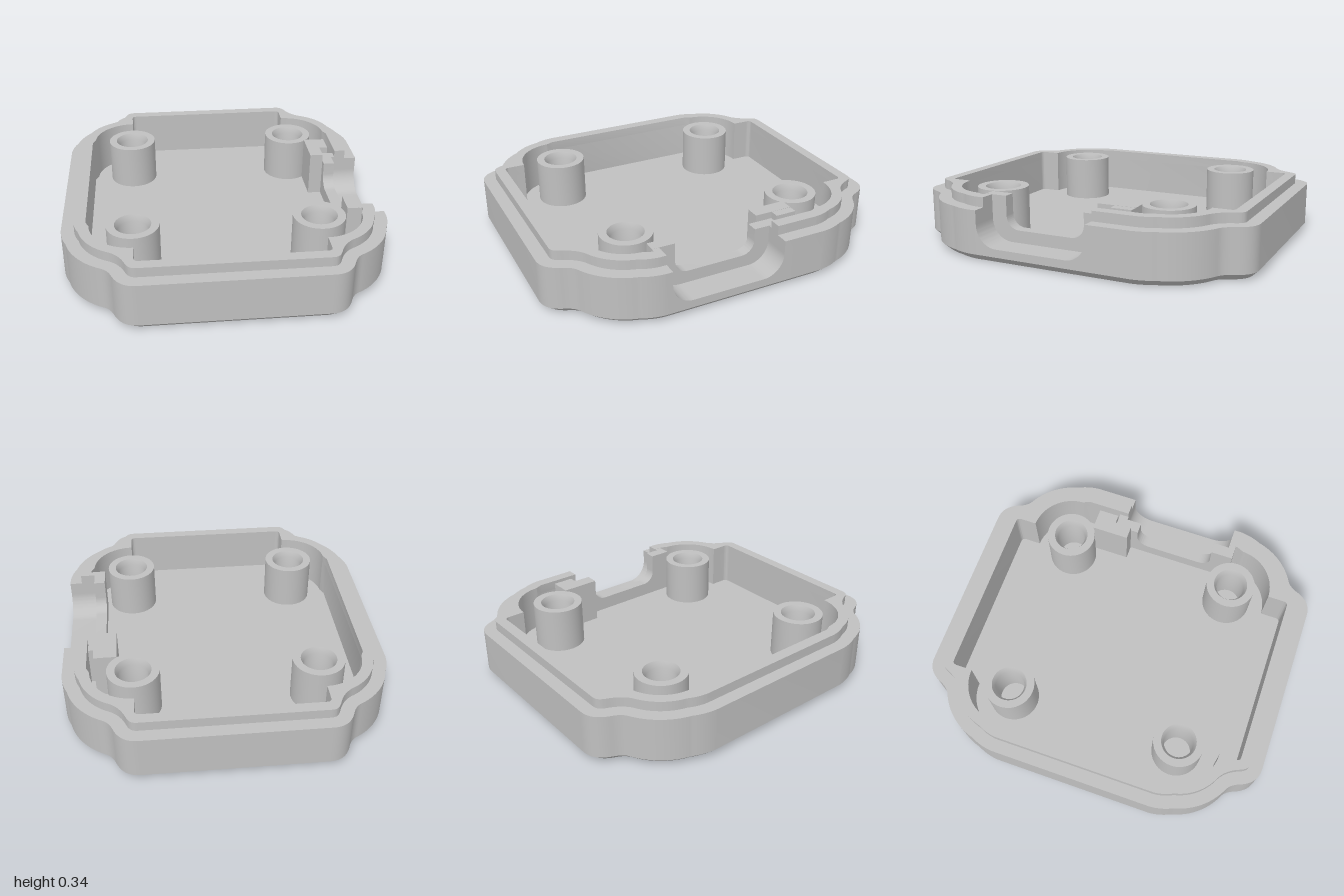
import * as THREE from 'three';
import { toCreasedNormals } from 'three/addons/utils/BufferGeometryUtils.js';

const grey = new THREE.MeshStandardMaterial({ color: 0xc0c0c0 });
grey.name = 'grey plastic';

const CX = 0.508, CZ = 0.512;            // screw post centres
const GAP = [-0.43, 0.225];              // port opening, measured along -z

// Mirrors a quarter contour (from the x axis to the z axis) into a closed loop
function mirrorLoop(path) {
  const q = path.getPoints(14);
  const r = q.slice(1, -1);              // points off the axes
  const back = [...r].reverse();
  return [
    ...r,
    ...back.map(p => new THREE.Vector2(-p.x, p.y)),
    ...r.map(p => new THREE.Vector2(-p.x, -p.y)),
    ...back.map(p => new THREE.Vector2(p.x, -p.y)),
  ];
}

// Moves every point of a counter-clockwise loop inward by d
function inset(loop, d) {
  const n = loop.length;
  return loop.map((p, i) => {
    const a = p.clone().sub(loop[(i + n - 1) % n]).normalize();
    const b = loop[(i + 1) % n].clone().sub(p).normalize();
    const m = new THREE.Vector2(-a.y - b.y, a.x + b.x).normalize();
    return p.clone().addScaledVector(m, d / Math.max(0.6, m.dot(new THREE.Vector2(-a.y, a.x))));
  });
}

function outerLoop() {
  const p = new THREE.Path();
  p.moveTo(0.897, 0);
  p.lineTo(0.897, 0.47);
  p.quadraticCurveTo(0.892, 0.54, 0.862, 0.6);
  p.absarc(0.505, 0.51, 0.368, 0.25, 1.107, false);
  p.quadraticCurveTo(0.635, 0.857, 0.615, 0.91);
  p.bezierCurveTo(0.59, 0.97, 0.55, 1, 0.49, 1);
  p.lineTo(0, 1);
  return mirrorLoop(p);
}

function innerLoop() {
  const p = new THREE.Path();
  p.moveTo(0.76, 0);
  p.lineTo(0.76, 0.48);
  p.lineTo(0.742, 0.52);
  p.absarc(0.505, 0.51, 0.237, 0.05, Math.PI / 2, false);
  p.lineTo(0.505, 0.84);
  p.quadraticCurveTo(0.505, 0.867, 0.48, 0.867);
  p.lineTo(0, 0.867);
  return mirrorLoop(p);
}

// Extrudes a plan shape upward between two heights
function slab(shape, y0, y1) {
  const g = new THREE.ExtrudeGeometry(shape, { depth: y1 - y0, bevelEnabled: false, curveSegments: 12 });
  return g.rotateX(-Math.PI / 2).translate(0, y0, 0);
}

// Extrudes a side profile (horizontal axis = -z) along x
function across(shape, x0, x1) {
  const g = new THREE.ExtrudeGeometry(shape, { depth: x1 - x0, bevelEnabled: false, curveSegments: 12 });
  return g.rotateY(Math.PI / 2).translate(x0, 0, 0);
}

// Wall ring, left open at the port
function openRing(outer, inner) {
  const xo = outer[0].x, xi = inner[0].x;
  return new THREE.Shape([
    new THREE.Vector2(xo, GAP[1]), ...outer, new THREE.Vector2(xo, GAP[0]),
    new THREE.Vector2(xi, GAP[0]), ...[...inner].reverse(), new THREE.Vector2(xi, GAP[1]),
  ]);
}

// Block from s0 to s1 with a round-cornered U cut between a and b
function cradle(s0, s1, base, top0, top1, a, b, bottom, r) {
  const s = new THREE.Shape();
  s.moveTo(s0, base);
  s.lineTo(s1, base);
  s.lineTo(s1, top1);
  if (s1 > b) s.lineTo(b, top1);
  s.lineTo(b, bottom + r);
  s.absarc(b - r, bottom + r, r, 0, -Math.PI / 2, true);
  s.lineTo(a + r, bottom);
  s.absarc(a + r, bottom + r, r, -Math.PI / 2, -Math.PI, true);
  s.lineTo(a, top0);
  if (s0 < a) s.lineTo(s0, top0);
  s.closePath();
  return s;
}

export function createModel() {
  const model = new THREE.Group();
  model.name = 'enclosureTray';
  const add = (name, geometry) => {
    const m = new THREE.Mesh(toCreasedNormals(geometry, 0.5), grey);
    m.name = name;
    model.add(m);
    return m;
  };
  const box = (name, x0, x1, y0, y1, z0, z1) =>
    add(name, new THREE.BoxGeometry(x1 - x0, y1 - y0, z1 - z0)
      .translate((x0 + x1) / 2, (y0 + y1) / 2, (z0 + z1) / 2));

  const outer = outerLoop(), inner = innerLoop();

  // Chamfered underside: the lowest layer is drawn inward
  const base = slab(new THREE.Shape(outer), 0, 0.035);
  const pos = base.attributes.position;
  for (let i = 0; i < pos.count; i++) {
    if (pos.getY(i) < 0.01) {
      pos.setX(i, pos.getX(i) * 0.961);
      pos.setZ(i, pos.getZ(i) * 0.965);
    }
  }
  base.computeVertexNormals();
  add('chamferedBase', base);
  add('floor', slab(new THREE.Shape(inset(outer, 0.05)), 0.03, 0.068));

  // Walls and the raised lip
  add('wall', slab(openRing(outer, inner), 0.035, 0.28));
  add('lip', slab(openRing(inset(outer, 0.072), inner), 0.28, 0.335));

  // Port opening: rounded sill in the wall and a narrower inner plate
  add('portSill', across(
    cradle(GAP[0], GAP[1], 0.035, 0.2, 0.2, GAP[0], GAP[1], 0.08, 0.12), 0.74, 0.897));
  add('portPlate', across(
    cradle(-0.47, 0.28, 0.06, 0.335, 0.295, -0.34, 0.135, 0.15, 0.075), 0.675, 0.74));
  box('plateJoint', 0.735, 0.765, 0.06, 0.334, 0.43, 0.47);
  box('plateJoint', 0.735, 0.765, 0.06, 0.294, -0.28, -0.225);

  // Stepped retaining tab beside the port
  box('tab', 0.597, 0.675, 0.06, 0.335, -0.4, -0.18);
  box('tabStep', 0.67, 0.725, 0.06, 0.334, -0.4, -0.28);

  // Screw posts with countersunk blind holes
  const profile = [
    [0.145, 0.06], [0.145, 0.33], [0.1, 0.33], [0.083, 0.295], [0.083, 0.06],
  ].map(([r, y]) => new THREE.Vector2(r, y));
  for (const sx of [-1, 1]) {
    for (const sz of [-1, 1]) {
      const post = add('screwPost', new THREE.LatheGeometry(profile, 40));
      post.position.set(sx * CX, 0, sz * CZ);
    }
  }
  return model;
}
